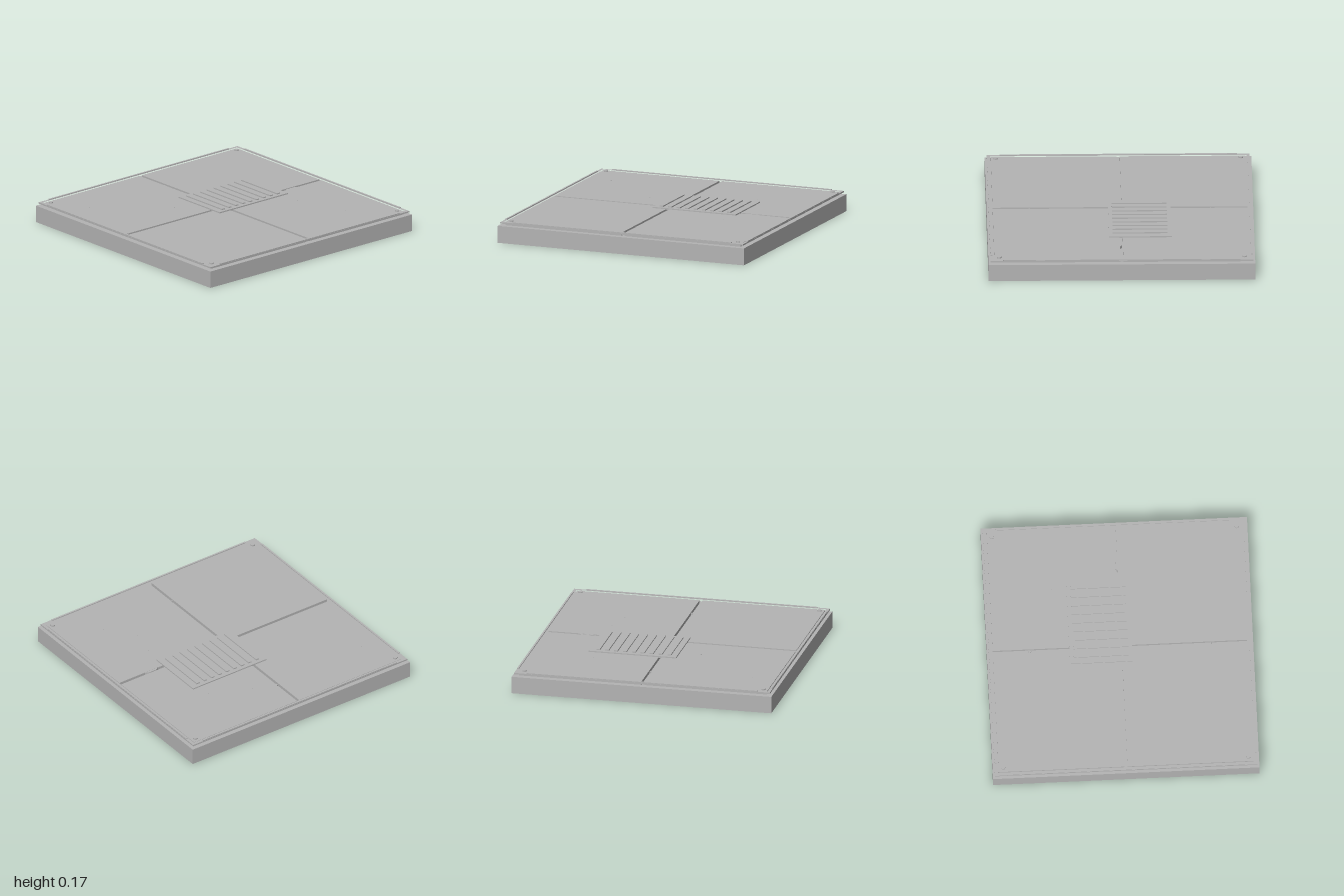
import * as THREE from 'three';

export function createModel() {
  const model = new THREE.Group();
  const metal = new THREE.MeshStandardMaterial({ name: 'plain grey', color: 0xb4b4b4 });

  const add = (name, geometry, x, y, z) => {
    const mesh = new THREE.Mesh(geometry, metal);
    mesh.name = name;
    mesh.position.set(x, y, z);
    model.add(mesh);
    return mesh;
  };
  // Box given by its ranges on each axis
  const block = (name, x0, x1, y0, y1, z0, z1) =>
    add(name, new THREE.BoxGeometry(x1 - x0, y1 - y0, z1 - z0), (x0 + x1) / 2, (y0 + y1) / 2, (z0 + z1) / 2);

  // Flat shape lying in the xz plane, raised from y0 to y1
  const slab = (name, points, y0, y1, hole) => {
    const shape = new THREE.Shape(points.map(([x, z]) => new THREE.Vector2(x, -z)));
    if (hole) shape.holes.push(new THREE.Path(hole.map(([x, z]) => new THREE.Vector2(x, -z))));
    const g = new THREE.ExtrudeGeometry(shape, { depth: y1 - y0, bevelEnabled: false });
    g.rotateX(-Math.PI / 2);
    return add(name, g, 0, y0, 0);
  };
  const square = (r) => [[-r, -r], [r, -r], [r, r], [-r, r]];

  // Foundation slab
  block('base', -1, 1, 0, 0.13, -1, 1);

  // Four floor panels with open seams, and a bolt at each outer corner
  const seam = 0.012, edge = 0.955, top = 0.154;
  for (const sx of [-1, 1]) {
    for (const sz of [-1, 1]) {
      const size = edge - seam, mid = (edge + seam) / 2;
      add('floorPanel', new THREE.BoxGeometry(size, top - 0.13, size), sx * mid, (top + 0.13) / 2, sz * mid);
      add('cornerBolt', new THREE.CylinderGeometry(0.016, 0.016, 0.01, 12), sx * 0.92, 0.159, sz * 0.92);
    }
  }

  // Raised border ring with a rail along each side
  slab('borderRing', square(0.985), 0.146, 0.157, square(0.961));
  for (const s of [-1, 1]) {
    const a = s * 0.977;
    block('sideRail', a - 0.007, a + 0.007, 0.157, 0.163, -0.89, 0.89);
    block('endRail', -0.89, 0.89, 0.157, 0.163, a - 0.007, a + 0.007);
  }

  // Vent plate with nine raised slats
  block('ventPlate', -0.12, 0.555, 0.15, 0.163, -0.38, 0.09);
  for (let i = 0; i < 9; i++) {
    const x = -0.06 + i * 0.0683;
    block('ventSlat', x - 0.014, x + 0.014, 0.163, 0.172, -0.35, 0.062);
  }

  // Chips of material lodged in the seams
  slab('seamChip', [[0.6, 0.012], [0.625, -0.003], [0.695, -0.004], [0.72, 0.012]], 0.13, 0.153);
  slab('seamChip', [[-0.012, -0.68], [0, -0.665], [0.012, -0.685], [0.006, -0.69]], 0.13, 0.145);
  slab('seamChip', [[-0.012, 0.675], [0.012, 0.68], [0.01, 0.69], [-0.012, 0.685]], 0.13, 0.145);

  // Small flecks on the floor
  const flecks = [[-0.8, -0.64], [-0.77, -0.66], [0.18, -0.62], [0.49, -0.49], [-0.28, -0.24],
    [0.47, 0.45], [0.52, 0.24], [0.64, 0.66]];
  for (const [x, z] of flecks) block('floorFleck', x - 0.006, x + 0.006, top, top + 0.001, z - 0.004, z + 0.004);

  return model;
}
